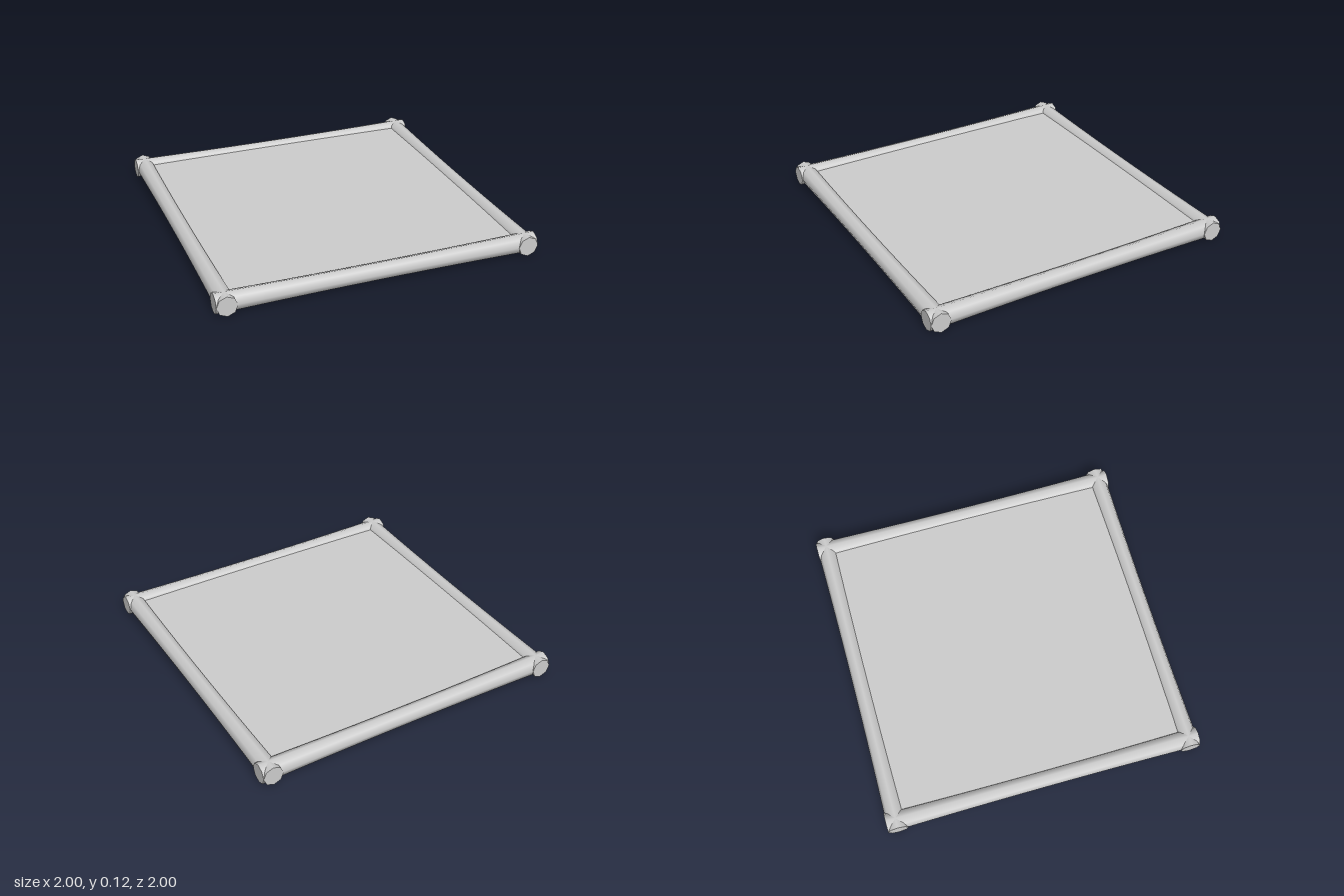
import * as THREE from 'three';

export function createModel() {
  const group = new THREE.Group();
  const grey = new THREE.MeshStandardMaterial({ color: 0xcccccc });
  grey.name = 'light grey';

  const R = 0.0625;       // radius at the flared pole ends
  const C = 1 - R;        // distance of each pole axis from the centre

  // Eight-sided pole, tapering gently towards the middle
  const poleGeo = new THREE.CylinderGeometry(R, R, 2, 8, 16);
  const pos = poleGeo.attributes.position;
  for (let i = 0; i < pos.count; i++) {
    const t = Math.abs(pos.getY(i));
    const k = (0.053 + 0.0095 * t * t) / R;
    pos.setX(i, pos.getX(i) * k);
    pos.setZ(i, pos.getZ(i) * k);
  }

  const addPole = (name, x, z, alongX) => {
    const pole = new THREE.Mesh(poleGeo, grey);
    pole.name = name;
    pole.position.set(x, R, z);
    if (alongX) pole.rotation.z = Math.PI / 2;
    else pole.rotation.x = Math.PI / 2;
    group.add(pole);
  };
  addPole('frontPole', 0, C, true);
  addPole('backPole', 0, -C, true);
  addPole('leftPole', C, 0, false);
  addPole('rightPole', -C, 0, false);

  // Solid panel held at mid height, its edges sunk into the poles
  const panel = new THREE.Mesh(new THREE.BoxGeometry(1.82, 0.054, 1.82), grey);
  panel.name = 'panel';
  panel.position.y = R;
  group.add(panel);

  return group;
}
